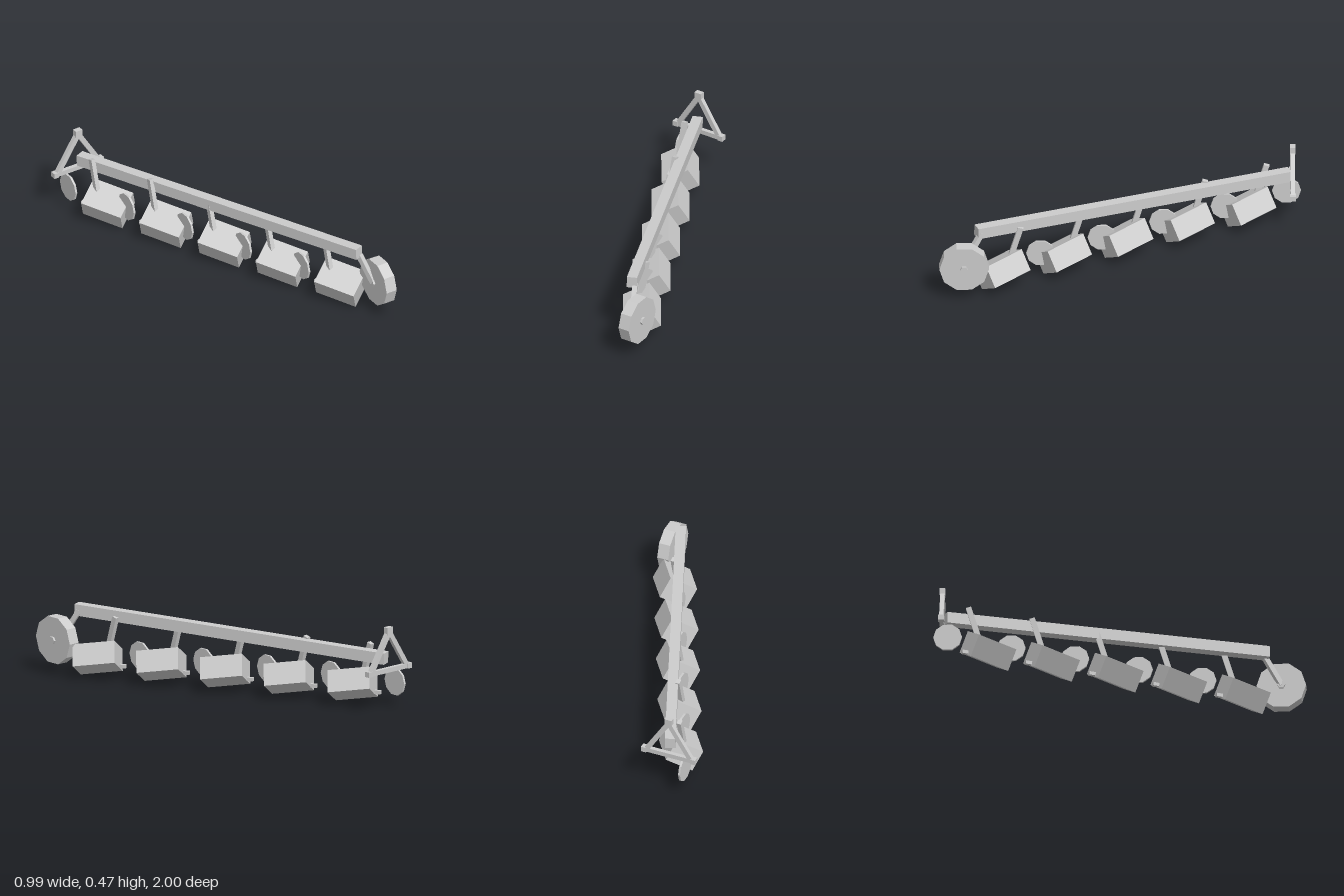
import * as THREE from 'three';

const mat = new THREE.MeshStandardMaterial({ color: 0xcccccc, flatShading: true });
const V = (x, y, z) => new THREE.Vector3(x, y, z);

function add(parent, geometry, name, pos) {
  const mesh = new THREE.Mesh(geometry, mat);
  mesh.name = name;
  mesh.position.copy(pos);
  parent.add(mesh);
  return mesh;
}

const block = (parent, name, pos, w, h, d) => add(parent, new THREE.BoxGeometry(w, h, d), name, pos);

// Square bar running from p to q
function bar(parent, name, p, q, w, h) {
  const mid = p.clone().add(q).multiplyScalar(0.5);
  const mesh = block(parent, name, mid, w, h, p.distanceTo(q));
  mesh.lookAt(q);
  return mesh;
}

// Faceted disc with its axle along x
function disc(parent, name, pos, radius, width, sides) {
  const g = new THREE.CylinderGeometry(radius, radius, width, sides).rotateZ(Math.PI / 2);
  return add(parent, g, name, pos);
}

// One furrow: tilted body, shank, rear peg and coulter disc
function createFurrow(i) {
  const furrow = new THREE.Group();
  furrow.name = 'furrow' + (i + 1);

  // Body block given by its three edge directions
  const a = V(0.13, -0.035, 0.197), b = V(0.043, -0.109, -0.048), c = V(0.128, 0.082, -0.07);
  const centre = V(0.193, 0.1475, 0.615)
    .addScaledVector(a, 0.5).addScaledVector(b, 0.5).addScaledVector(c, 0.5);
  const body = block(furrow, 'ploughBody', centre, a.length(), b.length(), c.length());
  const z = c.clone().normalize();
  const x = a.clone().normalize();
  const y = z.clone().cross(x).normalize();
  body.quaternion.setFromRotationMatrix(new THREE.Matrix4().makeBasis(x, y, z.crossVectors(x, y)));

  bar(furrow, 'shank', V(0.305, 0.16, 0.61), V(0.305, 0.36, 0.55), 0.025, 0.03);
  bar(furrow, 'rearPeg', V(0.305, 0.078, 0.6), V(0.262, 0.078, 0.515), 0.02, 0.02);
  disc(furrow, 'coulterDisc', V(0.225, 0.148, 0.44), 0.079, 0.012, 10);

  furrow.position.set(-0.16 * i, 0, -0.34 * i);
  return furrow;
}

export function createModel() {
  const model = new THREE.Group();
  model.name = 'plough';

  // Main diagonal beam
  bar(model, 'mainBeam', V(-0.333, 0.298, -0.935), V(0.37, 0.372, 0.795), 0.057, 0.064);

  // Five staggered furrows
  for (let i = 0; i < 5; i++) model.add(createFurrow(i));

  // Triangular hitch at the rear end of the beam
  const hitch = new THREE.Group();
  hitch.name = 'hitch';
  const hz = -0.952;
  block(hitch, 'crossBar', V(-0.335, 0.235, hz), 0.3, 0.026, 0.024);
  block(hitch, 'topBlock', V(-0.335, 0.456, hz), 0.042, 0.042, 0.03);
  for (const s of [-1, 1]) {
    block(hitch, 'endBlock', V(-0.335 + s * 0.147, 0.235, hz), 0.03, 0.03, 0.034);
    bar(hitch, 'hitchArm', V(-0.335 + s * 0.135, 0.235, hz), V(-0.335, 0.45, hz), 0.024, 0.028);
  }
  model.add(hitch);

  // Depth wheel with hub and arm
  const wheel = new THREE.Group();
  wheel.name = 'depthWheel';
  const hub = V(0.45, 0.2, 0.864);
  disc(wheel, 'tyre', hub, 0.136, 0.066, 10);
  disc(wheel, 'hub', hub, 0.022, 0.09, 6);
  bar(wheel, 'wheelArm', V(0.375, 0.37, 0.765), V(0.418, 0.2, 0.864), 0.028, 0.028);
  model.add(wheel);

  return model;
}
